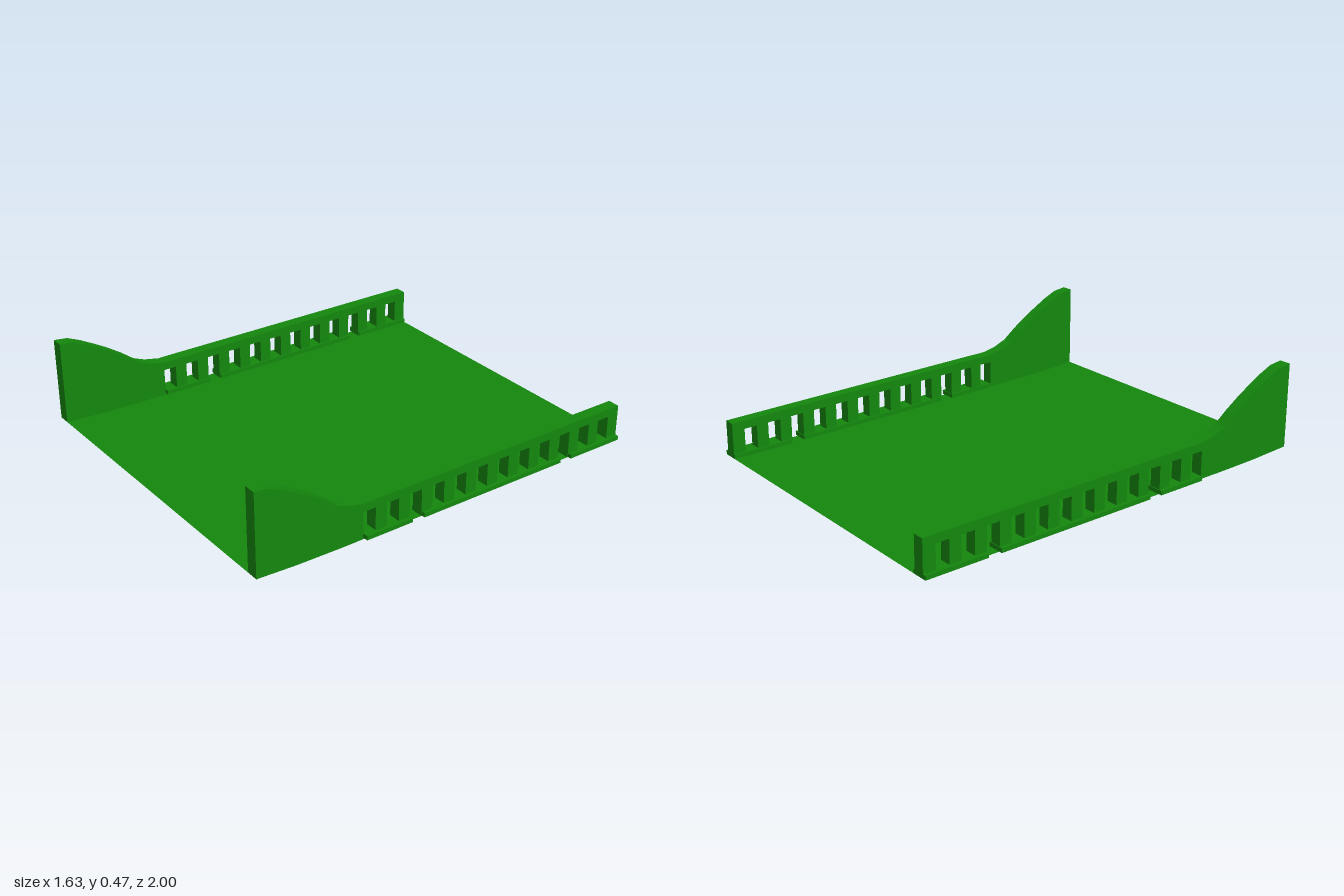
import * as THREE from 'three';

const green = new THREE.MeshStandardMaterial({ color: 0x14870d, flatShading: true, side: THREE.DoubleSide });

// Height of the deck: a gentle slope that steepens towards the front
const deckY = z => 0.0285 * (z + 1) + (z > 0.6 ? 0.08 * (z - 0.6) ** 2 : 0);

// Railing openings
const COUNT = 12, PITCH = 0.1225, FIRST = 0.473, WIDTH = 0.064;
const OPENING_TOP = 0.132, RAIL_TOP = 0.172;

// Extrude a [z, y] outline along x from x0 to x1
function sidePiece(name, outline, x0, x1) {
  const shape = new THREE.Shape(outline.map(([z, y]) => new THREE.Vector2(-z, y)));
  const geometry = new THREE.ExtrudeGeometry(shape, { depth: x1 - x0, bevelEnabled: false });
  geometry.rotateY(Math.PI / 2).translate(x0, 0, 0);
  const mesh = new THREE.Mesh(geometry, green);
  mesh.name = name;
  return mesh;
}

// Parapet: swept-up front end, then a rail standing on evenly spaced piers
function parapetOutline() {
  const points = [[1, 0.47], [0.935, 0.461], [0.87, 0.431], [0.8, 0.391], [0.74, 0.355],
    [0.67, 0.307], [0.605, 0.256], [0.545, 0.23], [0.47, 0.213], [0.41, 0.212]];
  points.push([-1, RAIL_TOP], [-1, 0]);
  for (let i = COUNT - 1; i >= 0; i--) {
    const front = FIRST - i * PITCH, back = front - WIDTH;
    points.push([back, deckY(back)], [back, deckY(back) + OPENING_TOP],
      [front, deckY(front) + OPENING_TOP], [front, deckY(front)]);
  }
  points.push([0.6, deckY(0.6)], [0.8, deckY(0.8)], [1, deckY(1)]);
  return points;
}

function createSide(name) {
  const side = new THREE.Group();
  side.name = name;
  side.add(sidePiece('parapet', parapetOutline(), 0.743, 0.8));
  // Base curbs, interrupted at two drainage openings
  for (const [front, back] of [[0.465, 0.224], [0.16, -0.633], [-0.697, -1]]) {
    side.add(sidePiece('baseCurb', [
      [front, deckY(front)], [front, deckY(front) + 0.02],
      [back, deckY(back) + 0.02], [back, deckY(back)],
    ], 0.735, 0.817));
  }
  return side;
}

export function createModel() {
  const model = new THREE.Group();
  model.name = 'bridgeDeckWithParapets';

  // Thin sloping deck
  const geometry = new THREE.PlaneGeometry(1.6, 2, 1, 10).rotateX(-Math.PI / 2);
  const position = geometry.attributes.position;
  for (let i = 0; i < position.count; i++) position.setY(i, deckY(position.getZ(i)));
  geometry.computeVertexNormals();
  const deck = new THREE.Mesh(geometry, green);
  deck.name = 'deck';
  model.add(deck);

  // Matching parapets on both sides
  const left = createSide('leftSide');
  const right = createSide('rightSide');
  right.scale.x = -1;
  model.add(left, right);
  return model;
}
